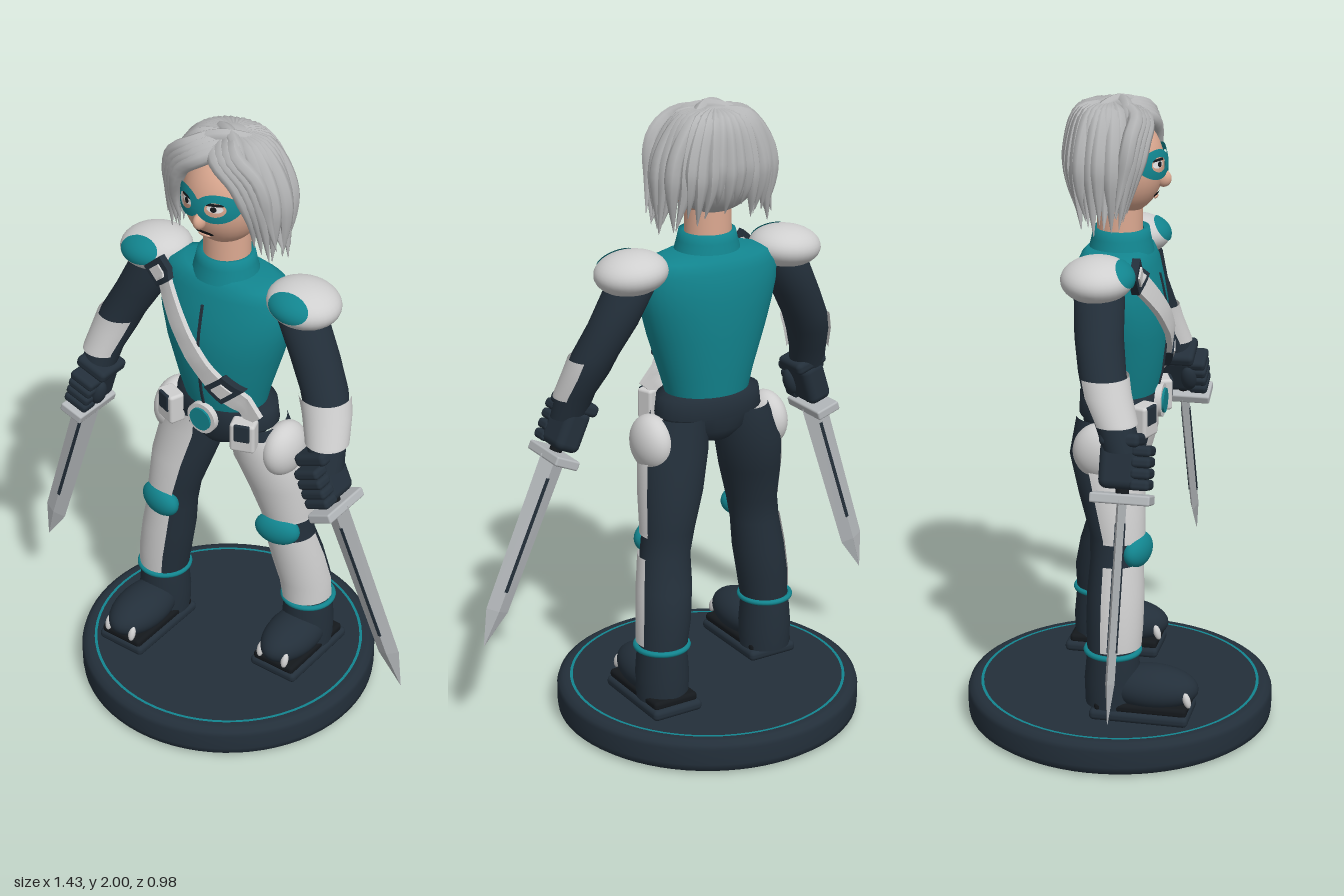
import * as THREE from 'three';
import { RoundedBoxGeometry } from 'three/addons/geometries/RoundedBoxGeometry.js';

const D = Math.PI / 180;
const mat = (name, color, side = THREE.FrontSide) => {
  const m = new THREE.MeshStandardMaterial({ color, side });
  m.name = name;
  return m;
};

// Skin from stacked rings [y, x, z, rx, rz], bottom to top; angle 0 faces +z, 90 faces +x
function loft(rings, a0 = 0, a1 = 360, n = 28) {
  const full = a1 - a0 >= 360, cols = full ? n : n + 1, pos = [], idx = [];
  for (const [y, x, z, rx, rz] of rings) {
    for (let j = 0; j < cols; j++) {
      const a = (a0 + (a1 - a0) * j / n) * D;
      pos.push(x + rx * Math.sin(a), y, z + rz * Math.cos(a));
    }
  }
  for (let i = 0; i < rings.length - 1; i++) {
    for (let j = 0; j < n; j++) {
      const k = (j + 1) % cols, p = i * cols, q = p + cols;
      idx.push(p + j, p + k, q + k, p + j, q + k, q + j);
    }
  }
  const g = new THREE.BufferGeometry();
  g.setAttribute('position', new THREE.Float32BufferAttribute(pos, 3));
  g.setIndex(idx);
  g.computeVertexNormals();
  return g;
}

// Ring at any height, blended from its neighbours
function ringAt(rings, y) {
  let i = 0;
  while (i < rings.length - 2 && rings[i + 1][0] < y) i++;
  const t = (y - rings[i][0]) / (rings[i + 1][0] - rings[i][0]);
  return rings[i].map((v, k) => THREE.MathUtils.lerp(v, rings[i + 1][k], t));
}
// Slightly larger copy of part of a limb, for armour
function plate(rings, y0, y1, grow) {
  const ys = [y0, ...rings.map(r => r[0]).filter(y => y > y0 && y < y1), y1];
  return ys.map(y => { const r = ringAt(rings, y); return [y, r[1], r[2], r[3] + grow, r[4] + grow]; });
}
// Push every vertex forward onto a surface z = f(x, y)
function drape(g, f) {
  const p = g.attributes.position;
  for (let i = 0; i < p.count; i++) p.setZ(i, p.getZ(i) + f(p.getX(i), p.getY(i)));
  g.computeVertexNormals();
  return g;
}
// Tube that narrows at both ends
function strand(points, r) {
  const c = new THREE.CatmullRomCurve3(points.map(p => new THREE.Vector3(...p)));
  const n = 18, m = 8, g = new THREE.TubeGeometry(c, n, r, m), p = g.attributes.position, v = new THREE.Vector3();
  for (let i = 0; i <= n; i++) {
    const o = c.getPointAt(i / n), f = Math.min(1, 0.5 + i / 6, 0.04 + (n - i) / 7);
    for (let j = 0; j <= m; j++) {
      const k = i * (m + 1) + j;
      v.fromBufferAttribute(p, k).sub(o).multiplyScalar(f).add(o);
      p.setXYZ(k, v.x, v.y, v.z);
    }
  }
  g.computeVertexNormals();
  return g;
}
const ball = (rx, ry, rz) => new THREE.SphereGeometry(1, 32, 20).scale(rx, ry, rz);
const rbox = (x, y, z, r = 0.01) => new RoundedBoxGeometry(x, y, z, 3, r);

export function createModel() {
  const teal = mat('teal', 0x12858f, THREE.DoubleSide), dark = mat('dark navy', 0x232f3a);
  const white = mat('armour white', 0xcfcfcf, THREE.DoubleSide), hairMat = mat('silver hair', 0xb4b5b6);
  const skin = mat('skin', 0xdba890), steel = mat('steel', 0xb3b7ba), black = mat('black', 0x14181c);
  const eyeWhite = mat('eye white', 0xe8e8e8);
  const model = new THREE.Group();
  model.name = 'swordFighter';
  const add = (parent, name, geo, material, x = 0, y = 0, z = 0) => {
    const m = new THREE.Mesh(geo, material);
    m.name = name;
    m.position.set(x, y, z);
    parent.add(m);
    return m;
  };
  const part = name => { const g = new THREE.Group(); g.name = name; model.add(g); return g; };

  // Round base
  const base = part('base');
  const rim = [[0, 0], [0.46, 0], [0.47, 0], [0.486, 0.012], [0.488, 0.03], [0.488, 0.08], [0.483, 0.095], [0.468, 0.105], [0.455, 0.105], [0, 0.105]];
  add(base, 'baseDisc', new THREE.LatheGeometry(rim.map(p => new THREE.Vector2(...p)), 72), dark);
  add(base, 'baseRing', new THREE.RingGeometry(0.437, 0.446, 72).rotateX(-Math.PI / 2), teal, 0, 0.1065);

  // Torso, collar, pelvis
  const torso = part('torso');
  const chest = [[1.06, 0, 0.005, 0.13, 0.105], [1.15, 0, 0.01, 0.155, 0.122], [1.28, 0, 0.01, 0.198, 0.138], [1.36, 0, 0.007, 0.222, 0.137],
    [1.42, 0, 0, 0.234, 0.132], [1.49, 0, -0.005, 0.236, 0.12], [1.525, 0, -0.005, 0.21, 0.105], [1.54, 0, -0.005, 0.15, 0.09], [1.545, 0, 0, 0.01, 0.01]];
  const chestZ = (x, y) => {
    const r = ringAt(chest, y);
    return Math.max(0.075, r[2] + r[4] * Math.sqrt(Math.max(0, 1 - (x / r[3]) ** 2)));
  };
  add(torso, 'shirt', loft(chest, 0, 360, 40), teal);
  add(torso, 'collar', loft([[1.525, 0, 0.005, 0.108, 0.1], [1.57, 0, 0.005, 0.095, 0.09], [1.6, 0, 0.005, 0.088, 0.085], [1.595, 0, 0.005, 0.07, 0.068]]), teal);
  add(torso, 'frontSeam', drape(new THREE.BoxGeometry(0.008, 0.36, 0.006, 1, 16, 1).translate(0, 1.28, 0.002), chestZ), dark);
  add(torso, 'pelvis', loft([[0.93, 0, 0, 0.01, 0.01], [0.94, 0, 0, 0.07, 0.08], [0.98, 0, 0, 0.14, 0.11], [1.04, 0, 0, 0.17, 0.115], [1.08, 0, 0, 0.15, 0.11]]), dark);
  add(torso, 'belt', loft([[1.02, 0, 0, 0.17, 0.11], [1.025, 0, 0, 0.18, 0.122], [1.085, 0, 0, 0.172, 0.12], [1.092, 0, 0, 0.13, 0.1]]), dark);
  const disc = r => new THREE.CylinderGeometry(r, r, 0.02, 32).rotateX(Math.PI / 2);
  add(torso, 'buckleRim', disc(0.052), white, 0, 1.055, 0.128);
  add(torso, 'buckleFace', disc(0.038), teal, 0, 1.055, 0.135);
  for (const s of [-1, 1]) {
    const pouch = add(torso, 'pouch', rbox(0.08, 0.1, 0.055), white, s * 0.14, 1.035, 0.105);
    pouch.rotation.y = s * 0.35;
    add(pouch, 'pouchFlap', rbox(0.05, 0.06, 0.012, 0.005), dark, 0, 0.02, 0.026);
  }

  // Diagonal chest strap with two buckles
  const slant = 0.71;
  const onStrap = (w, h, d, x, y, lift) => drape(new THREE.BoxGeometry(w, h, d, 4, 24, 1).rotateZ(slant).translate(x, y, lift), chestZ);
  add(torso, 'strap', onStrap(0.062, 0.56, 0.018, -0.015, 1.3, 0.011), white);
  for (const [x, y] of [[0.085, 1.195], [-0.185, 1.495]]) {
    add(torso, 'strapBuckle', onStrap(0.08, 0.075, 0.024, x, y, 0.014), dark);
    add(torso, 'strapBuckleFace', onStrap(0.042, 0.042, 0.008, x, y, 0.028), white);
  }

  // Legs: the right one steps forward
  for (const s of [-1, 1]) {
    const leg = part(s > 0 ? 'leftLeg' : 'rightLeg');
    const az = s > 0 ? -0.115 : 0.03, kz = s > 0 ? -0.065 : 0.03, toe = s > 0 ? 0.11 : 0.3, ax = s * 0.24;
    const rings = [[0.28, ax, az, 0.075, 0.078], [0.4, s * 0.228, az * 0.92 + kz * 0.08, 0.083, 0.085], [0.5, s * 0.212, (az + kz) / 2, 0.085, 0.085],
      [0.6, s * 0.197, kz, 0.08, 0.078], [0.68, s * 0.185, kz, 0.083, 0.082], [0.8, s * 0.163, kz * 0.6 - 0.01, 0.1, 0.098],
      [0.92, s * 0.135, -0.02, 0.108, 0.105], [1.03, s * 0.11, -0.01, 0.085, 0.1]];
    const range = s > 0 ? [-28, 105] : [-105, 28];
    add(leg, 'trousers', loft(rings), dark);
    add(leg, 'shinGuard', loft(plate(rings, 0.33, 0.6, 0.007), ...range), white);
    add(leg, 'thighGuard', loft(plate(rings, 0.67, 1.0, 0.007), ...range), white);
    add(leg, 'hipPad', ball(0.06, 0.09, 0.09), white, s * 0.21, 0.95, -0.01);
    const knee = add(leg, 'kneePad', ball(0.076, 0.055, 0.04), teal, s * 0.197, 0.635, kz + 0.068);
    knee.rotation.y = s * 0.2;
    add(leg, 'ankleRing', new THREE.TorusGeometry(0.082, 0.009, 10, 40).rotateX(Math.PI / 2), teal, ax, 0.315, az);
    add(leg, 'bootShaft', loft([[0.14, ax, az, 0.082, 0.085], [0.22, ax, az, 0.085, 0.088], [0.32, ax, az, 0.077, 0.079]]), dark);
    add(leg, 'bootToe', ball(0.085, 0.07, 0.15), dark, ax, 0.2, toe - 0.15);
    add(leg, 'sole', rbox(0.175, 0.035, 0.31, 0.015), dark, ax, 0.1225, toe - 0.175);
    add(leg, 'soleEdge', rbox(0.155, 0.03, 0.29, 0.012), black, ax, 0.148, toe - 0.17);
    for (const k of [-1, 1]) {
      const claw = add(leg, 'toeClaw', ball(0.012, 0.027, 0.012), white, ax + k * 0.048, 0.185, toe - 0.028);
      claw.rotation.x = -0.3;
    }
  }

  // Arms, shoulder pads and swords
  for (const s of [-1, 1]) {
    const arm = part(s > 0 ? 'leftArm' : 'rightArm');
    const rings = [[1.05, s * 0.44, 0.1, 0.055, 0.055], [1.13, s * 0.425, 0.075, 0.06, 0.06], [1.2, s * 0.402, 0.045, 0.068, 0.068],
      [1.26, s * 0.38, 0.03, 0.073, 0.07], [1.35, s * 0.33, 0.01, 0.077, 0.072], [1.45, s * 0.28, 0, 0.078, 0.075], [1.53, s * 0.25, 0, 0.05, 0.05]];
    add(arm, 'sleeve', loft(rings), dark);
    add(arm, 'forearmGuard', loft(plate(rings, 1.12, 1.25, 0.008), ...(s > 0 ? [-55, 130] : [-130, 55])), white);
    const pad = add(arm, 'shoulderPad', ball(0.115, 0.066, 0.108), white, s * 0.275, 1.507, -0.008);
    pad.rotation.z = -s * 0.08;
    const patch = new THREE.SphereGeometry(1, 24, 12, 0, Math.PI * 2, 0, 0.62).rotateX(68 * D).scale(0.119, 0.069, 0.112);
    add(pad, 'shoulderPatch', patch, teal);

    // Gloved fist, turned so that the blade runs down its -y
    const hand = new THREE.Group();
    hand.name = 'swordHand';
    hand.position.set(s * 0.447, s > 0 ? 1.015 : 1.0, 0.11);
    hand.rotation.z = s > 0 ? 0.42 : -0.31;
    arm.add(hand);
    add(hand, 'cuff', rbox(0.115, 0.04, 0.12, 0.015), dark, 0, 0.075, -0.01);
    add(hand, 'palm', rbox(0.085, 0.14, 0.12, 0.025), dark, 0, 0, -0.01);
    for (let i = 0; i < 4; i++) add(hand, 'finger', rbox(0.09, 0.031, 0.06, 0.012), dark, 0, 0.045 - i * 0.033, 0.055);
    add(hand, 'thumb', ball(0.022, 0.045, 0.026), dark, -s * 0.045, 0.0, 0.03);
    add(hand, 'grip', new THREE.CylinderGeometry(0.02, 0.02, 0.2, 16), black, 0, -0.01, 0);
    add(hand, 'guard', rbox(0.085, 0.03, 0.18, 0.006), steel, 0, -0.098, 0);
    const tip = s > 0 ? -0.735 : -0.76;
    const blade = loft([[tip, 0, 0, 0.001, 0.001], [tip + 0.12, 0, 0, 0.04, 0.014], [-0.1, 0, 0, 0.046, 0.015]], 0, 360, 4).toNonIndexed();
    blade.computeVertexNormals();
    add(hand, 'blade', blade, steel);
    for (const k of [-1, 1]) add(hand, 'bladeGroove', new THREE.BoxGeometry(0.011, 0.38, 0.008), dark, 0, -0.36, k * 0.011);
  }

  // Head and face
  const head = part('head');
  const faceZ = (x, y) => 0.012 + 0.122 * Math.sqrt(Math.max(0, 1 - (x / 0.125) ** 2 - ((y - 1.79) / 0.15) ** 2));
  add(head, 'neck', loft([[1.54, 0, 0, 0.075, 0.07], [1.72, 0, 0, 0.072, 0.068]]), skin);
  add(head, 'face', ball(0.125, 0.15, 0.122), skin, 0, 1.79, 0.012);
  add(head, 'nose', ball(0.018, 0.026, 0.025), skin, 0, 1.752, 0.133);
  const onFace = (g, x, y, lift) => drape(g.translate(x, y, lift), faceZ);
  for (const s of [-1, 1]) {
    add(head, 'ear', ball(0.018, 0.035, 0.025), skin, s * 0.122, 1.75, 0.01);
    add(head, 'mask', onFace(new THREE.RingGeometry(0.5, 1, 40, 5).scale(0.06, 0.045, 1), s * 0.053, 1.805, 0.012), teal);
    add(head, 'eye', onFace(new THREE.CircleGeometry(1, 24).scale(0.023, 0.012, 1), s * 0.05, 1.805, 0.005), eyeWhite);
    add(head, 'pupil', onFace(new THREE.CircleGeometry(0.009, 16), s * 0.048, 1.805, 0.008), black);
    add(head, 'eyelid', onFace(new THREE.BoxGeometry(0.046, 0.006, 0.005, 6, 1, 1), s * 0.05, 1.818, 0.006), black);
  }
  add(head, 'maskBridge', onFace(new THREE.PlaneGeometry(0.04, 0.035, 6, 4), 0, 1.812, 0.0125), teal);
  add(head, 'mouth', onFace(new THREE.CircleGeometry(1, 24).scale(0.034, 0.01, 1), 0, 1.706, 0.004), black);
  add(head, 'lowerLip', ball(0.022, 0.006, 0.006), skin, 0, 1.697, faceZ(0, 1.697) + 0.003);

  // Hair: cap, hanging locks around sides and back, swept fringe
  const hair = part('hair');
  add(hair, 'hairCap', ball(0.165, 0.162, 0.115), hairMat, 0, 1.825, -0.042);
  const count = 26;
  for (let i = 0; i < count; i++) {
    const a = (58 + 244 * i / (count - 1)) * D, S = Math.sin(a), C = Math.cos(a), side = Math.abs(S);
    const w = 0.012 * Math.sin(i * 2.4), end = 1.7 - 0.07 * side + 0.02 * Math.sin(i * 4.1);
    add(hair, 'lock', strand([[0.03 * S, 1.972, -0.03 + 0.03 * C], [0.11 * S, 1.945, -0.03 + 0.085 * C], [(0.168 + w) * S, 1.85, -0.03 + 0.112 * C],
      [(0.183 + w) * S, 1.75, -0.03 + 0.112 * C], [(0.175 + 0.02 * side - w) * S, end, -0.025 + 0.095 * C]], 0.026), hairMat);
  }
  for (const s of [-1, 1]) {
    for (let k = 0; k < 4; k++) {
      const o = k * 0.018;
      add(hair, 'fringe', strand([[s * (-0.05 + o), 1.965 + k * 0.003, 0.0 - o * 0.5], [s * (0.025 + o), 1.93 + o * 0.4, 0.085 - o * 0.4],
        [s * (0.098 + o), 1.875 + o * 0.4, 0.09 - o * 0.5], [s * (0.138 + o * 0.8), 1.77, 0.072 - o * 0.5],
        [s * (0.135 + o * 1.2), 1.67 - 0.02 * (k % 3), 0.05 - o * 0.4]], 0.024), hairMat);
    }
    add(hair, 'topLock', strand([[-s * 0.09, 1.95, -0.06], [0, 1.977, -0.01 * s], [s * 0.08, 1.95, 0.045], [s * 0.13, 1.89, 0.065]], 0.022), hairMat);
  }

  // Centre the whole piece, swords included
  for (const c of model.children) c.position.x -= 0.045;
  return model;
}
